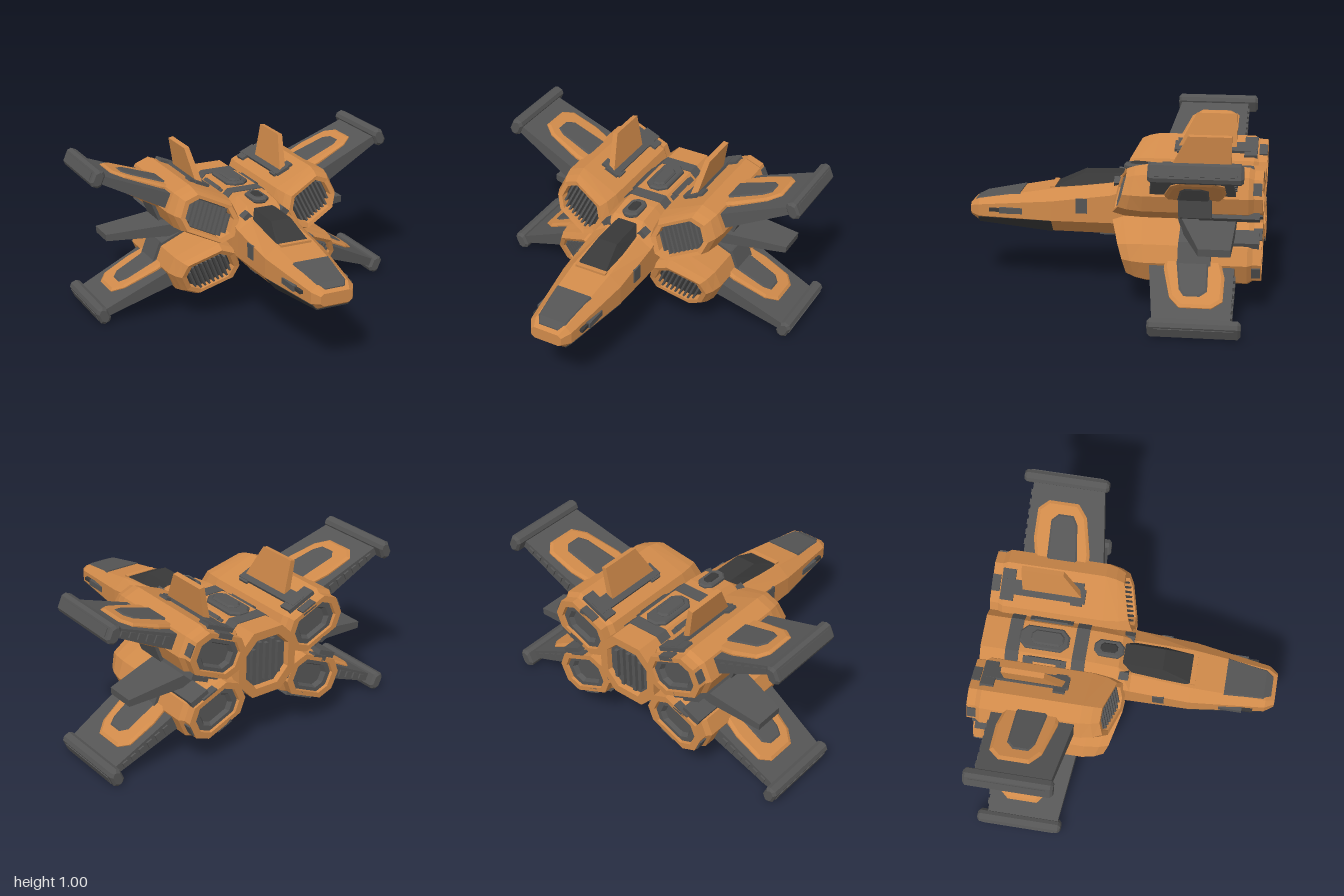
import * as THREE from 'three';

const orange = new THREE.MeshStandardMaterial({ color: 0xd08a4a, flatShading: true });
const dark = new THREE.MeshStandardMaterial({ color: 0x555555, flatShading: true });
const black = new THREE.MeshStandardMaterial({ color: 0x383838, flatShading: true });
const MID = 0.505; // height of the plane between upper and lower wings

function mesh(name, geo, mat) {
  const g = geo.index ? geo.toNonIndexed() : geo;
  g.computeVertexNormals();
  const m = new THREE.Mesh(g, mat);
  m.name = name;
  return m;
}

function box(name, mat, w, h, d, x, y, z, rx = 0, rz = 0) {
  const m = mesh(name, new THREE.BoxGeometry(w, h, d), mat);
  m.position.set(x, y, z);
  m.rotation.set(rx, 0, rz);
  return m;
}

// Skin over rings of [x, y, z], counter-clockwise seen from +z, listed front to back
function loft(name, mat, rings) {
  const n = rings[0].length, idx = [];
  for (let k = 0; k < rings.length - 1; k++) {
    for (let i = 0; i < n; i++) {
      const a = k * n + i, b = k * n + (i + 1) % n, c = a + n, d = b + n;
      idx.push(a, c, b, b, c, d);
    }
  }
  const e = (rings.length - 1) * n;
  for (let i = 1; i < n - 1; i++) idx.push(0, i, i + 1, e, e + i + 1, e + i);
  const g = new THREE.BufferGeometry();
  g.setAttribute('position', new THREE.Float32BufferAttribute(rings.flat(2), 3));
  g.setIndex(idx);
  return mesh(name, g, mat);
}

// Chamfered rectangle
const oct = (w, h, c) => [[w, c - h], [w, h - c], [w - c, h], [c - w, h], [-w, h - c], [-w, c - h], [c - w, -h], [w - c, -h]];

// Fuselage ring: half width, bottom, lower side, upper side, top, bottom and top half widths
const hullRing = ([z, w, yb, yl, yh, yt, wb, wt]) =>
  [[w, yl, z], [w, yh, z], [wt, yt, z], [-wt, yt, z], [-w, yh, z], [-w, yl, z], [-wb, yb, z], [wb, yb, z]];

// Trapezoid ring: top half width and height, bottom half width and height
const trap = ([z, wt, yt, wb, yb]) => [[wt, yt, z], [-wt, yt, z], [-wb, yb, z], [wb, yb, z]];

// Flat slab of an [x, z] outline, symmetric about y = 0, thinning with x
function slab(name, mat, pts, half, taper, bevel = 0) {
  const s = new THREE.Shape(pts.map(([x, z]) => new THREE.Vector2(x, -z)));
  const g = new THREE.ExtrudeGeometry(s, {
    depth: 2 * (half - bevel), bevelEnabled: bevel > 0, bevelSize: bevel, bevelOffset: -bevel, bevelThickness: bevel, bevelSegments: 1,
  });
  g.rotateX(-Math.PI / 2).translate(0, bevel - half, 0);
  const p = g.attributes.position;
  for (let i = 0; i < p.count; i++) p.setY(i, p.getY(i) * (1 - taper * p.getX(i)));
  return mesh(name, g, mat);
}

// Mirrored copy with corrected winding
function mirrored(src, sx, sy, name) {
  const out = new THREE.Group();
  out.name = name;
  src.updateMatrixWorld(true);
  const flip = new THREE.Matrix4().makeScale(sx, sy, 1).setPosition(0, sy < 0 ? 2 * MID : 0, 0);
  src.traverse((o) => {
    if (!o.isMesh) return;
    const g = o.geometry.clone().applyMatrix4(flip.clone().multiply(o.matrixWorld));
    if (sx * sy < 0) {
      const p = g.attributes.position, a = new THREE.Vector3(), b = new THREE.Vector3();
      for (let i = 0; i < p.count; i += 3) {
        a.fromBufferAttribute(p, i + 1);
        b.fromBufferAttribute(p, i + 2);
        p.setXYZ(i + 1, b.x, b.y, b.z);
        p.setXYZ(i + 2, a.x, a.y, a.z);
      }
    }
    out.add(mesh(o.name, g, o.material));
  });
  return out;
}

// One engine with its wing, built along local +x and tilted
function engineAndWing() {
  const q = new THREE.Group();
  const ring = (s, z, slant) => oct(0.207 * s, 0.137 * s, 0.075 * s)
    .map(([x, y]) => [x, y, z - slant * (0.25 * x + 0.2 * y)]);
  q.add(loft('engineNacelle', orange, [
    ring(0.66, -0.13, 1), ring(0.68, -0.06, 1), ring(0.82, -0.055, 1), ring(0.93, -0.11, 0.8), ring(1, -0.2, 0.3),
    ring(1, -0.81, 0), ring(0.9, -0.84, 0), ring(0.9, -0.89, 0), ring(0.7, -0.89, 0), ring(0.66, -0.84, 0)]));
  // Intake and exhaust
  q.add(loft('intakeBack', black, [ring(0.67, -0.115, 1), ring(0.6, -0.16, 1)]));
  for (let i = -4; i <= 4; i++) {
    const x = i * 0.028;
    q.add(box('intakeSlat', dark, 0.012, Math.abs(i) > 3 ? 0.12 : 0.17, 0.045, x, 0, -0.09 - 0.25 * x, -0.2));
  }
  q.add(loft('exhaustNozzle', dark, [ring(0.67, -0.83, 0), ring(0.67, -0.875, 0), ring(0.52, -0.875, 0), ring(0.44, -0.85, 0)]));
  for (const s of [-1, 1]) {
    q.add(box('exhaustClamp', dark, 0.03, 0.07, 0.05, 0.18 * s, 0, -0.86));
    q.add(box('exhaustClamp', dark, 0.1, 0.03, 0.05, 0, 0.118 * s, -0.865));
  }
  // Saddle plates on the nacelle
  q.add(box('saddleRail', dark, 0.09, 0.04, 0.5, -0.01, 0.135, -0.57));
  q.add(box('saddleFoot', dark, 0.19, 0.04, 0.08, 0, 0.133, -0.79));
  q.add(box('saddleFoot', dark, 0.14, 0.035, 0.07, 0, 0.135, -0.37));
  q.add(box('sideRail', dark, 0.12, 0.04, 0.35, 0.06, -0.14, -0.7));
  q.add(box('underPlate', dark, 0.14, 0.03, 0.19, 0.17, -0.105, -0.51, 0, Math.PI / 4));
  q.add(box('underPlate', dark, 0.18, 0.03, 0.19, 0.04, -0.137, -0.51));
  // Wing with raised panels on both faces
  q.add(slab('wing', dark, [[0.12, -0.74], [0.66, -0.74], [0.66, -0.31], [0.12, -0.24]], 0.058, 0.9));
  q.add(slab('wingPanel', orange, [[0.12, -0.65], [0.3, -0.69], [0.48, -0.69], [0.535, -0.63], [0.535, -0.45], [0.46, -0.39], [0.24, -0.34], [0.12, -0.34]], 0.09, 0.95, 0.018));
  q.add(slab('wingInset', dark, [[0.12, -0.59], [0.42, -0.6], [0.46, -0.56], [0.46, -0.47], [0.41, -0.44], [0.2, -0.41], [0.12, -0.41]], 0.1, 0.95, 0.01));
  for (let i = 0; i < 6; i++) {
    const x = 0.27 + i * 0.06;
    q.add(box('edgeRib', dark, 0.035, 0.055 - 0.004 * i, 0.025, x, 0, -0.262 - (x - 0.12) * 0.13));
    q.add(box('edgeRib', dark, 0.035, 0.05 - 0.004 * i, 0.02, x, 0, -0.74));
  }
  // Wing tip pod
  const pod = (w, h, z) => oct(w, h, 0.018).map(([x, y]) => [x + 0.665, y, z]);
  q.add(loft('wingTipPod', dark, [pod(0.024, 0.042, -0.285), pod(0.036, 0.054, -0.3), pod(0.036, 0.054, -0.785), pod(0.024, 0.042, -0.8)]));
  q.add(box('wingTipPlate', dark, 0.012, 0.05, 0.44, 0.7, 0, -0.545));
  q.position.set(0.345, 0.675, 0);
  q.rotation.z = 0.415;
  return q;
}

// Parts that sit on both flanks of the body
function flankParts() {
  const g = new THREE.Group();
  // Upright fin, leaning outwards
  const fin = slab('tailFin', orange, [[0, -0.34], [0.21, -0.45], [0.21, -0.7], [0, -0.7]], 0.02, 1);
  fin.position.set(0.285, 0.8, 0);
  fin.rotation.z = Math.PI / 2 - 0.17;
  g.add(fin);
  // Stabilizer between the wings
  const stab = slab('stabilizer', dark, [[0, -0.36], [0.64, -0.55], [0.64, -0.73], [0, -0.74]], 0.05, 0.9);
  stab.position.set(0.19, 0.51, 0);
  stab.rotation.z = -0.07;
  g.add(stab);
  // Flank hardware
  g.add(box('sideVent', dark, 0.02, 0.09, 0.07, 0.193, 0.53, 0.195));
  g.add(box('noseCannon', dark, 0.03, 0.035, 0.14, 0.162, 0.477, 0.63));
  g.add(box('noseCannon', black, 0.02, 0.02, 0.07, 0.158, 0.477, 0.73));
  g.add(box('frontVent', dark, 0.05, 0.05, 0.07, 0.12, 0.665, -0.03, 0, -0.7));
  for (const z of [-0.6, -0.4]) g.add(box('spineClamp', dark, 0.05, 0.04, 0.06, 0.125, 0.7, z, 0, -0.7));
  g.add(box('spineRail', dark, 0.03, 0.04, 0.2, 0.12, 0.715, -0.5, 0, -0.7));
  g.add(box('bellySkid', dark, 0.05, 0.03, 0.09, 0.09, 0.35, 0.05));
  return g;
}

export function createModel() {
  const model = new THREE.Group();
  model.name = 'starfighter';

  // Fuselage, ending in a recessed exhaust
  model.add(loft('fuselage', orange, [
    [0.89, 0.1, 0.425, 0.44, 0.485, 0.5, 0.08, 0.08], [0.835, 0.135, 0.392, 0.43, 0.5, 0.53, 0.1, 0.1],
    [0.38, 0.193, 0.35, 0.43, 0.55, 0.612, 0.12, 0.12], [0.02, 0.197, 0.345, 0.43, 0.6, 0.655, 0.12, 0.11],
    [-0.06, 0.2, 0.335, 0.43, 0.63, 0.72, 0.1, 0.1], [-0.2, 0.2, 0.335, 0.44, 0.64, 0.74, 0.1, 0.1],
    [-0.89, 0.2, 0.335, 0.44, 0.64, 0.74, 0.1, 0.1], [-0.89, 0.15, 0.385, 0.465, 0.615, 0.69, 0.075, 0.075],
    [-0.85, 0.14, 0.395, 0.47, 0.61, 0.68, 0.07, 0.07]].map(hullRing)));
  model.add(loft('mainExhaust', dark, [
    [-0.83, 0.147, 0.388, 0.465, 0.615, 0.687, 0.073, 0.073], [-0.86, 0.147, 0.388, 0.465, 0.615, 0.687, 0.073, 0.073]].map(hullRing)));
  for (let i = -2; i <= 2; i++) model.add(box('exhaustBar', dark, 0.022, i % 2 ? 0.26 : 0.23 - 0.02 * Math.abs(i), 0.03, i * 0.045, 0.538, -0.868));

  // Hull bands and belly
  for (const z of [-0.3, -0.7]) {
    model.add(loft('hullBand', dark, [z + 0.04, z - 0.04].map((s) => hullRing([s, 0.205, 0.33, 0.438, 0.642, 0.745, 0.102, 0.102]))));
  }
  model.add(box('bellyPlate', dark, 0.15, 0.02, 0.6, 0, 0.333, -0.45));
  model.add(loft('noseKeel', black, [
    [0.84, 0.135, 0.425, 0.1, 0.387], [0.38, 0.197, 0.43, 0.123, 0.345]].map(trap)));

  // Nose cover and cockpit
  model.add(loft('noseCover', dark, [
    [0.865, 0.06, 0.52, 0.07, 0.49], [0.82, 0.085, 0.54, 0.105, 0.52], [0.58, 0.11, 0.583, 0.13, 0.55]].map(trap)));
  model.add(loft('canopy', black, [
    [0.375, 0.09, 0.615, 0.11, 0.6], [0.2, 0.065, 0.7, 0.11, 0.62], [0.01, 0.065, 0.705, 0.105, 0.64], [-0.04, 0.06, 0.705, 0.1, 0.65]].map(trap)));
  model.add(box('canopySill', orange, 0.2, 0.02, 0.03, 0, 0.612, 0.385));

  // Spine hatches
  const hatch = (name, mat, w, l, h, z) => {
    const m = slab(name, mat, oct(w, l, w * 0.6), h, 0, 0.01);
    m.position.set(0, 0.74, z);
    model.add(m);
  };
  hatch('spineHatch', dark, 0.072, 0.15, 0.022, -0.52);
  hatch('spineHatchCover', dark, 0.045, 0.1, 0.034, -0.5);
  hatch('frontHatch', dark, 0.052, 0.09, 0.018, -0.13);
  hatch('frontHatchCover', black, 0.032, 0.055, 0.025, -0.13);

  // Four engines with wings, and both flanks
  const quarter = engineAndWing(), flank = flankParts();
  for (const sx of [1, -1]) {
    const side = sx > 0 ? 'left' : 'right';
    model.add(mirrored(quarter, sx, 1, side + 'UpperWing'));
    model.add(mirrored(quarter, sx, -1, side + 'LowerWing'));
    model.add(mirrored(flank, sx, 1, side + 'Flank'));
  }
  return model;
}
